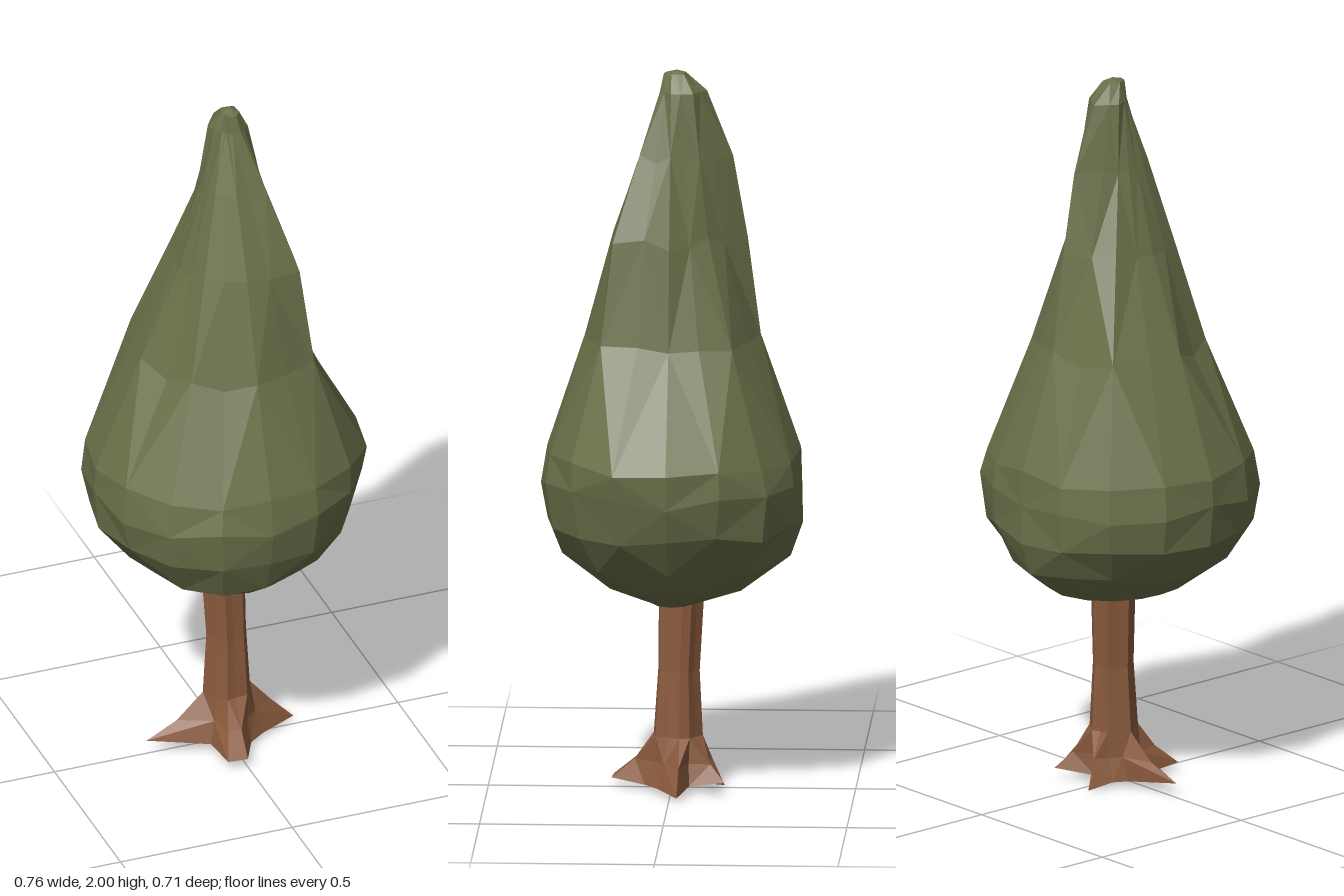
import * as THREE from 'three';

const TAU = Math.PI * 2;

// Small seeded generator, returns -1..1
function seeded(seed) {
  let s = seed;
  return () => {
    s = (s * 16807) % 2147483647;
    return (s / 2147483647) * 2 - 1;
  };
}

// Faceted skin over closed rings of equal length, listed bottom to top
function loft(rings, bottom, top) {
  const pos = [];
  const tri = (a, b, c) => pos.push(...a, ...b, ...c);
  const n = rings[0].length;
  for (let j = 0; j < n; j++) {
    const k = (j + 1) % n;
    tri(bottom, rings[0][j], rings[0][k]);
    for (let i = 0; i < rings.length - 1; i++) {
      const lo = rings[i], hi = rings[i + 1];
      if ((i + j) % 2) {
        tri(lo[j], hi[j], lo[k]);
        tri(lo[k], hi[j], hi[k]);
      } else {
        tri(lo[j], hi[j], hi[k]);
        tri(lo[j], hi[k], lo[k]);
      }
    }
    const last = rings[rings.length - 1];
    tri(top, last[k], last[j]);
  }
  const g = new THREE.BufferGeometry();
  g.setAttribute('position', new THREE.Float32BufferAttribute(pos, 3));
  g.computeVertexNormals();
  return g;
}

function foliageGeometry() {
  const rand = seeded(41);
  // Height, then the radius every 45 degrees from +x towards +z
  const levels = [
    [0.52, 0.1, 0.07, 0.04, 0.03, 0.03, 0.03, 0.05, 0.08],
    [0.565, 0.19, 0.18, 0.18, 0.18, 0.17, 0.19, 0.21, 0.2],
    [0.65, 0.27, 0.27, 0.30, 0.29, 0.28, 0.30, 0.32, 0.29],
    [0.75, 0.335, 0.345, 0.34, 0.36, 0.37, 0.37, 0.355, 0.368],
    [0.86, 0.37, 0.372, 0.357, 0.383, 0.386, 0.393, 0.357, 0.385],
    [0.94, 0.38, 0.372, 0.337, 0.362, 0.382, 0.385, 0.35, 0.365],
    [1.25, 0.21, 0.265, 0.238, 0.23, 0.25, 0.287, 0.24, 0.243],
    [1.54, 0.167, 0.22, 0.16, 0.148, 0.138, 0.165, 0.205, 0.145],
    [1.76, 0.098, 0.12, 0.082, 0.074, 0.07, 0.085, 0.165, 0.112],
    [1.94, 0.063, 0.045, 0.022, 0.012, 0.025, 0.055, 0.095, 0.085],
    [1.99, 0.038, 0.03, 0.015, 0.004, 0.003, 0.015, 0.038, 0.048],
  ];
  const sides = 16;
  const rings = levels.map(([y, ...radii]) => {
    const ring = [];
    const wobble = y > 0.6 && y < 1.9 ? 1 : 0;
    for (let j = 0; j < sides; j++) {
      const a = (j / sides) * TAU;
      const at = (i) => radii[(i + 8) % 8];
      const h = Math.floor(j / 2);
      const p = at(h), q = at(h + 1);
      let r = p;
      if (j % 2) {
        // Between the main columns: round below, nearly flat in the crown
        r = y < 1.2
          ? (9 * (p + q) - at(h - 1) - at(h + 2)) / 16
          : 1.88 * p * q / (p + q);
      }
      r *= 1 + rand() * 0.01 * wobble;
      ring.push([Math.cos(a) * r, y + rand() * 0.016 * wobble, Math.sin(a) * r]);
    }
    return ring;
  });
  return loft(rings, [0.03, 0.513, 0], [0.017, 2, -0.014]);
}

function trunkGeometry() {
  // Outline on the ground, root tips and the gaps between: angle, radius, y
  const base = [
    [-6, 0.205, 0.012], [22, 0.1, 0.015], [58, 0.085, 0.015], [90, 0.165, 0.025],
    [109, 0.17, 0.025], [142, 0.08, 0.02], [180, 0.232, 0.04], [206, 0.08, 0.015],
    [235, 0.09, 0.015], [258, 0.145, 0], [280, 0.08, 0.02], [305, 0.18, 0.035],
    [330, 0.1, 0.02],
  ].map(([d, r, y]) => [d * Math.PI / 180, r, y]);
  const ring = (fn) => base.map(([a, r, y], j) => {
    const [rr, yy, cx, cz] = fn(r, y, j);
    return [cx + Math.cos(a) * rr, yy, cz + Math.sin(a) * rr];
  });
  const ridge = (j) => (j % 2 ? -0.004 : 0.004);
  return loft([
    ring((r, y) => [r, y, 0, 0]),
    ring((r) => [0.067 + (r - 0.08) * 0.52, 0.08, 0.006, -0.01]),
    ring((r, y, j) => [0.066 + ridge(j), 0.15, 0.008, -0.016]),
    ring((r, y, j) => [0.055 + ridge(j), 0.33, 0.008, -0.018]),
    ring((r, y, j) => [0.061 + ridge(j), 0.56, 0, -0.025]),
  ], [0, 0.02, 0], [0, 0.57, -0.025]);
}

export function createModel() {
  const leaf = new THREE.MeshStandardMaterial({ color: 0x6b7049 });
  leaf.name = 'leafGreen';
  const bark = new THREE.MeshStandardMaterial({ color: 0x8a5a3d });
  bark.name = 'barkBrown';

  const tree = new THREE.Group();
  tree.name = 'tree';

  const foliage = new THREE.Mesh(foliageGeometry(), leaf);
  foliage.name = 'foliage';
  const trunk = new THREE.Mesh(trunkGeometry(), bark);
  trunk.name = 'trunkWithRoots';

  tree.add(foliage, trunk);
  return tree;
}
